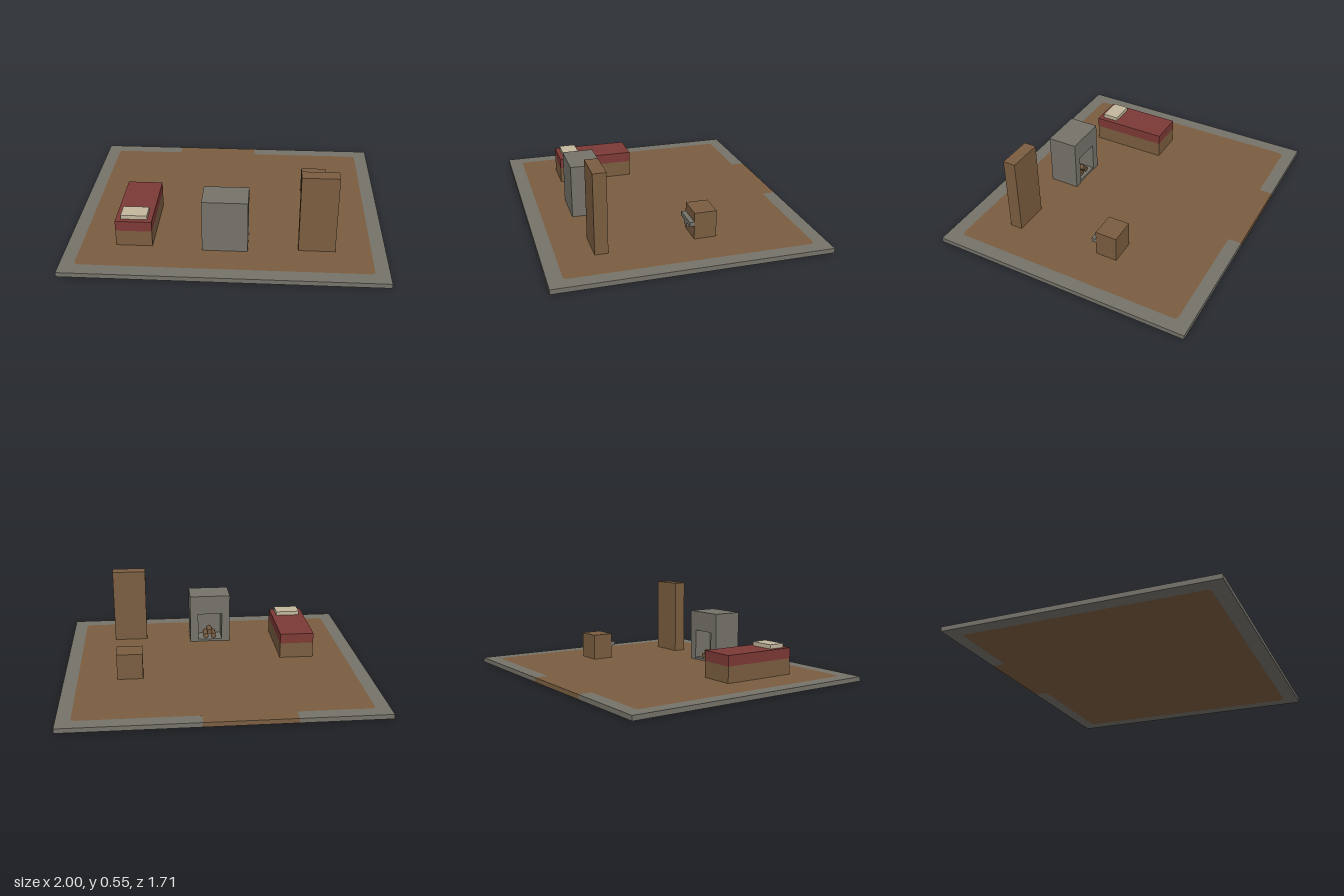
import * as THREE from 'three';

const mat = (name, color) => {
  const m = new THREE.MeshStandardMaterial({ color });
  m.name = name;
  return m;
};

export function createModel() {
  const stone = mat('stone', 0x75726a);
  const wood = mat('wood', 0x7a5d40);
  const red = mat('blanket red', 0x7c3935);
  const cream = mat('pillow cream', 0xc3b79d);
  const root = new THREE.Group();
  const group = (name) => {
    const g = new THREE.Group();
    g.name = name;
    root.add(g);
    return g;
  };
  const add = (parent, name, geometry, material) => {
    const m = new THREE.Mesh(geometry, material);
    m.name = name;
    parent.add(m);
    return m;
  };
  // Box given by its limits on each axis
  const box = (parent, name, material, [x0, x1], [y0, y1], [z0, z1]) => {
    const m = add(parent, name, new THREE.BoxGeometry(x1 - x0, y1 - y0, z1 - z0), material);
    m.position.set((x0 + x1) / 2, (y0 + y1) / 2, (z0 + z1) / 2);
    return m;
  };
  // Flat plan (x, z) given thickness, lying on the ground
  const F = 0.03;
  const slab = (shape) => new THREE.ExtrudeGeometry(shape, { depth: F, bevelEnabled: false })
    .rotateX(Math.PI / 2).translate(0, F, 0);

  // Wooden floor with rounded corners and a doorway at the back
  const X = 0.91, Z0 = -0.77, Z1 = 0.765, R = 0.03, D0 = -0.43, D1 = 0.14, E = 0.857;
  const plan = new THREE.Shape();
  plan.moveTo(D1, -E);
  plan.lineTo(D1, Z0 - R / 2);
  plan.quadraticCurveTo(D1, Z0, D1 + R / 2, Z0);
  plan.lineTo(X - R, Z0);
  plan.quadraticCurveTo(X, Z0, X, Z0 + R);
  plan.lineTo(X, Z1 - R);
  plan.quadraticCurveTo(X, Z1, X - R, Z1);
  plan.lineTo(-X + R, Z1);
  plan.quadraticCurveTo(-X, Z1, -X, Z1 - R);
  plan.lineTo(-X, Z0 + R);
  plan.quadraticCurveTo(-X, Z0, -X + R, Z0);
  plan.lineTo(D0, Z0);
  plan.lineTo(D0, -E);
  const inner = plan.getPoints(4);
  const base = group('base');
  add(base, 'floor', slab(plan), wood);

  // Stone border wrapping the floor
  const outer = [[-1, -E], [-1, E], [1, E], [1, -E]].map(([x, z]) => new THREE.Vector2(x, z));
  add(base, 'stoneBorder', slab(new THREE.Shape([...outer, ...inner])), stone);

  // Bed
  const bed = group('bed');
  box(bed, 'bedFrame', wood, [-0.69, -0.46], [F, 0.135], [0.03, 0.54]);
  box(bed, 'blanket', red, [-0.69, -0.46], [0.135, 0.203], [0.03, 0.54]);
  box(bed, 'pillow', cream, [-0.657, -0.492], [0.203, 0.23], [0.4, 0.51]);

  // Fireplace, open towards the back
  const fire = group('fireplace');
  const fz = [0.37, 0.57];
  for (const [a, b] of [[-0.145, -0.088], [0.083, 0.14]]) {
    box(fire, 'pillar', stone, [a, b], [F, 0.24], fz);
  }
  box(fire, 'mantel', stone, [-0.145, 0.14], [0.24, 0.375], fz);
  box(fire, 'backWall', stone, [-0.088, 0.083], [F, 0.24], [0.5, 0.57]);
  box(fire, 'hearth', stone, [-0.088, 0.083], [F, 0.045], [0.375, 0.5]);
  for (const [x, y] of [[-0.03, 0.063], [0.025, 0.063], [-0.003, 0.092]]) {
    const log = add(fire, 'log', new THREE.CylinderGeometry(0.018, 0.018, 0.09, 10), wood);
    log.rotation.x = Math.PI / 2;
    log.position.set(x, y, 0.44);
  }

  // Tall cupboard
  box(root, 'cupboard', wood, [0.455, 0.685], [F, 0.545], [0.457, 0.54]);

  // Chest with a stone shelf and a small bracket beneath it
  const chest = group('chest');
  box(chest, 'chestBody', wood, [0.485, 0.653], [F, 0.203], [-0.23, -0.088]);
  box(chest, 'shelf', stone, [0.485, 0.653], [0.117, 0.145], [-0.088, -0.058]);
  box(chest, 'bracket', stone, [0.545, 0.593], [0.09, 0.117], [-0.088, -0.058]);

  return root;
}
